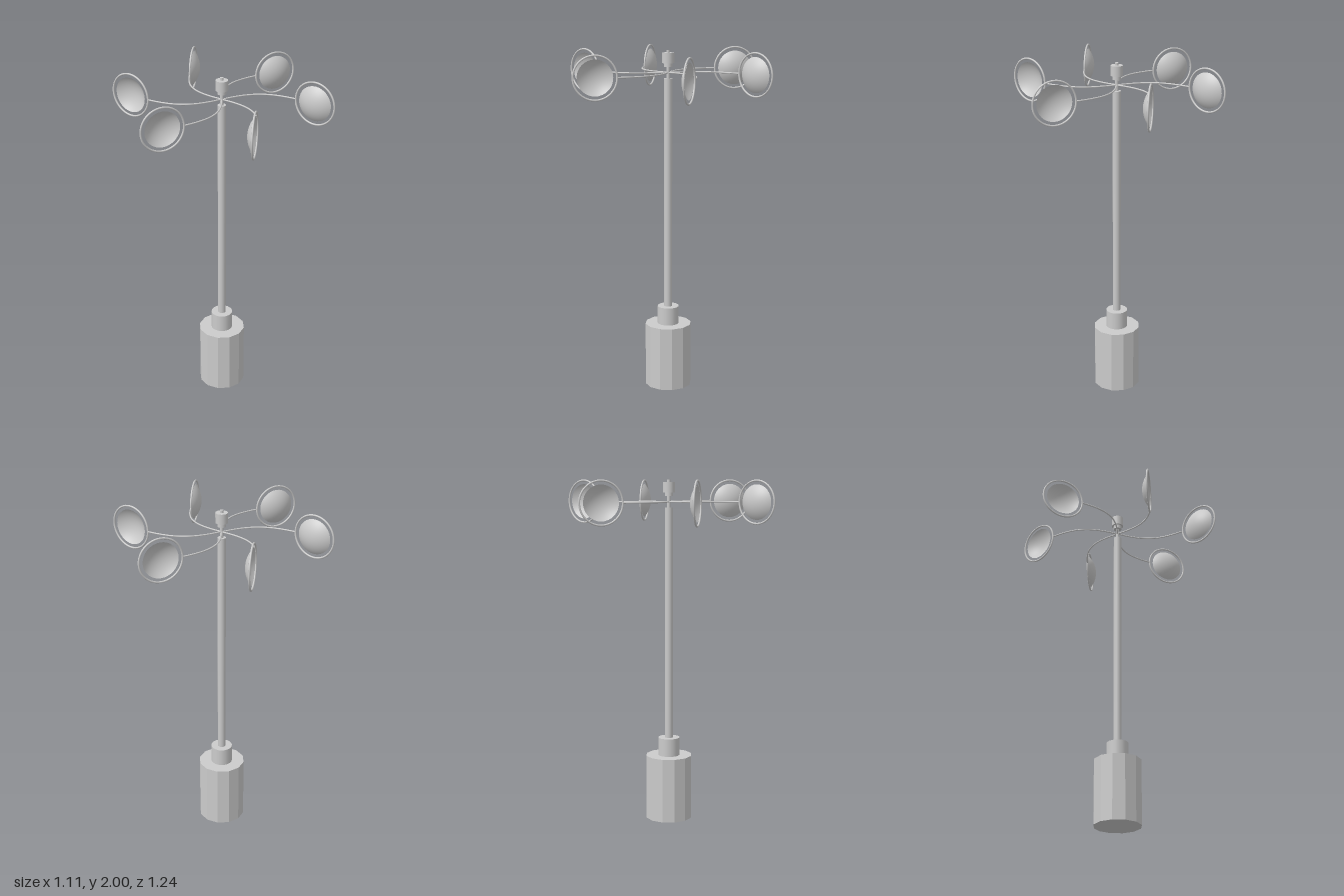
import * as THREE from 'three';

const solid = new THREE.MeshStandardMaterial({ color: 0xcccccc });
const faceted = new THREE.MeshStandardMaterial({ color: 0xcccccc, flatShading: true });
const thin = new THREE.MeshStandardMaterial({ color: 0xcccccc, side: THREE.DoubleSide });

function part(name, geometry, material = solid) {
  const mesh = new THREE.Mesh(geometry, material);
  mesh.name = name;
  return mesh;
}

// Upright cylinder between two heights
function post(name, radius, y0, y1, sides, material) {
  const mesh = part(name, new THREE.CylinderGeometry(radius, radius, y1 - y0, sides), material);
  mesh.position.y = (y0 + y1) / 2;
  return mesh;
}

const ARM_Y = 1.873;
const RIM = 0.1, DEPTH = 0.038;

// Shallow open bowl, rim in the XY plane, bulging to +z
function bowlGeometry() {
  const radius = (RIM * RIM + DEPTH * DEPTH) / (2 * DEPTH);
  const geometry = new THREE.SphereGeometry(radius, 32, 8, 0, Math.PI * 2, 0, Math.asin(RIM / radius));
  geometry.rotateX(Math.PI / 2);
  geometry.translate(0, 0, DEPTH - radius);
  return geometry;
}

// Curved arm carrying a ring with a bowl inside it
function createArm() {
  const arm = new THREE.Group();
  arm.name = 'arm';

  const path = new THREE.CatmullRomCurve3([
    [0.008, 0], [0.06, -0.009], [0.126, -0.013], [0.18, -0.008], [0.22, 0.003],
    [0.262, 0.022], [0.302, 0.05], [0.342, 0.086], [0.384, 0.132],
  ].map(([x, z]) => new THREE.Vector3(x, 0, z)));
  arm.add(part('armRod', new THREE.TubeGeometry(path, 40, 0.0045, 8)));

  const cup = new THREE.Group();
  cup.name = 'cup';
  cup.add(part('cupRing', new THREE.TorusGeometry(0.1215, 0.0055, 8, 48)));
  cup.add(part('cupBowl', bowlGeometry(), thin));
  cup.position.set(0.453, 0, 0.231);
  cup.rotation.y = -Math.atan2(0.817, 0.576);
  arm.add(cup);
  return arm;
}

export function createModel() {
  const model = new THREE.Group();
  model.name = 'windSpinner';

  // Stand
  model.add(post('base', 0.137, 0, 0.38, 12, faceted));
  model.add(post('collar', 0.063, 0.38, 0.486, 20, solid));
  model.add(post('pole', 0.024, 0.486, 1.84, 12, solid));

  // Spindle and cap
  model.add(post('spindle', 0.01, 1.84, 1.91, 12, solid));
  model.add(post('capNeck', 0.024, 1.905, 1.927, 20, solid));
  model.add(post('cap', 0.035, 1.927, 1.985, 20, solid));
  model.add(post('capPin', 0.01, 1.985, 2, 12, solid));

  // Six arms in opposite pairs
  const rotor = new THREE.Group();
  rotor.name = 'rotor';
  rotor.position.y = ARM_Y;
  for (const degrees of [0, 63.7, 120]) {
    for (const turn of [0, 180]) {
      const arm = createArm();
      arm.rotation.y = -THREE.MathUtils.degToRad(degrees + turn);
      rotor.add(arm);
    }
  }
  model.add(rotor);
  return model;
}
